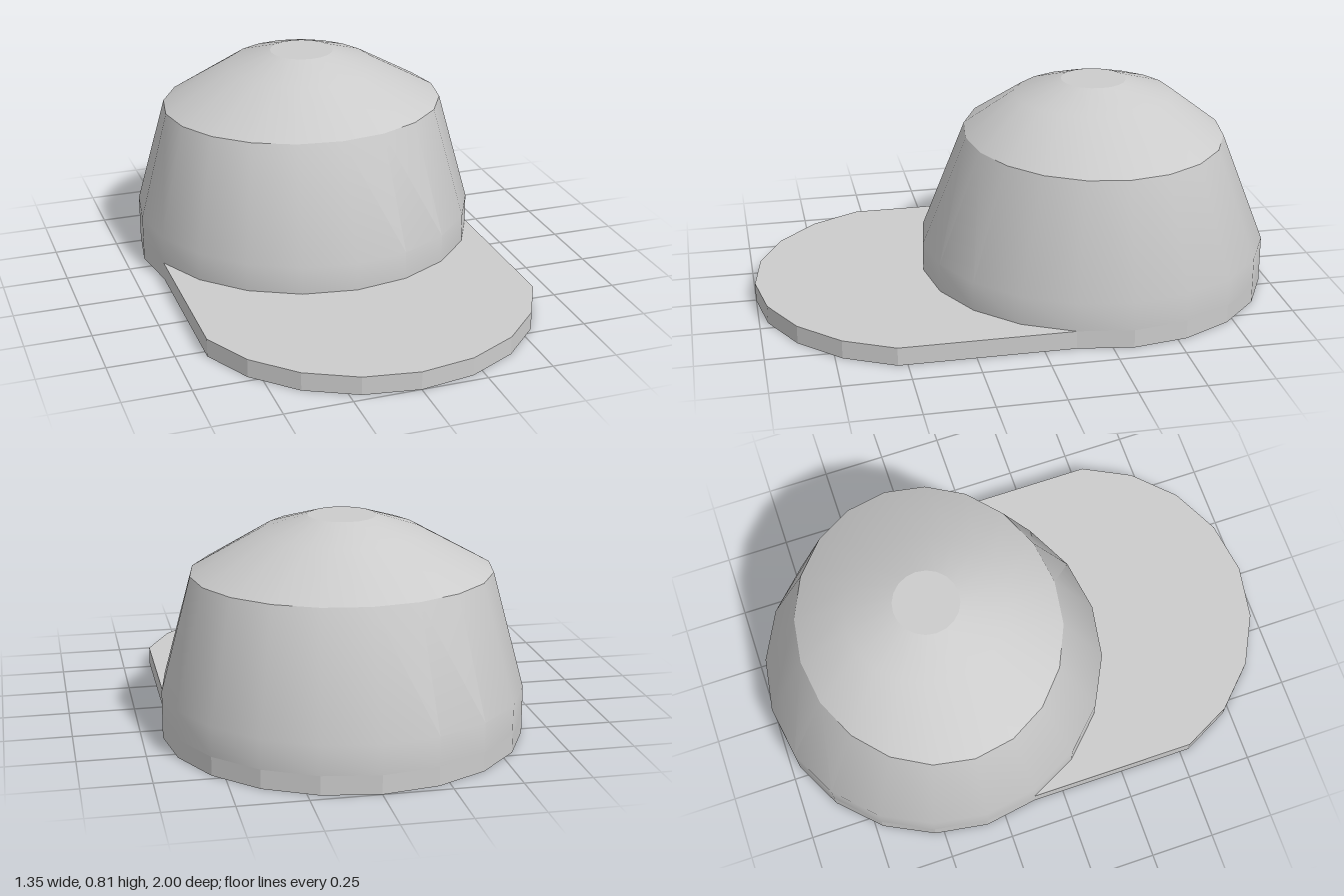
import * as THREE from 'three';
import { toCreasedNormals } from 'three/addons/utils/BufferGeometryUtils.js';

const SIDES = 20;
const RADIUS = 0.673;
const CENTRE_Z = -0.327;
const BRIM_REACH = 0.655;
const BRIM_HEIGHT = 0.07;

const smooth = new THREE.MeshStandardMaterial({ color: 0xcccccc });
const flat = new THREE.MeshStandardMaterial({ color: 0xcccccc, flatShading: true });

function add(group, name, geometry, material, y = 0, z = 0) {
  const mesh = new THREE.Mesh(geometry, material);
  mesh.name = name;
  mesh.position.set(0, y, z);
  group.add(mesh);
  return mesh;
}

// Lathe through elliptical rings given as [y, x radius, z radius]
function ringLoft(rings) {
  const geometry = new THREE.LatheGeometry(rings.map(([y, rx]) => new THREE.Vector2(rx, y)), SIDES);
  const pos = geometry.attributes.position;
  for (let i = 0; i < pos.count; i++) {
    const [, rx, rz] = rings[i % rings.length];
    pos.setZ(i, pos.getZ(i) * rz / rx);
  }
  geometry.computeVertexNormals();
  return geometry;
}

// Points of a regular polygon with a corner on each axis
function polygon(radius) {
  return Array.from({ length: SIDES }, (_, i) => {
    const a = (i / SIDES) * Math.PI * 2;
    return new THREE.Vector2(Math.cos(a) * radius, Math.sin(a) * radius);
  });
}

export function createModel() {
  const cap = new THREE.Group();
  cap.name = 'cap';

  // Base rim whose front half is pulled forward into the brim, with a head opening
  const outline = polygon(RADIUS);
  for (const p of outline) if (p.y > 0.01) p.y += BRIM_REACH;
  // Keep the brim sides straight from the rim's first front corners
  const corner = polygon(RADIUS)[1];
  outline.splice(1, 0, corner.clone());
  outline.splice(SIDES / 2 + 1, 0, new THREE.Vector2(-corner.x, corner.y));
  const shape = new THREE.Shape(outline);
  shape.holes.push(new THREE.Path(polygon(0.583).reverse()));
  const brim = new THREE.ExtrudeGeometry(shape, { depth: BRIM_HEIGHT, bevelEnabled: false });
  brim.rotateX(Math.PI / 2);
  add(cap, 'brim', brim, flat, BRIM_HEIGHT, CENTRE_Z);

  // Outer crown
  const crown = ringLoft([
    [BRIM_HEIGHT, RADIUS, RADIUS],
    [0.18, RADIUS, RADIUS],
    [0.61, 0.56, 0.5],
    [0.76, 0.29, 0.305],
    [0.815, 0.125, 0.125],
  ]);
  add(cap, 'crown', toCreasedNormals(crown, THREE.MathUtils.degToRad(28)), smooth, 0, CENTRE_Z);

  // Flat top of the crown
  const top = new THREE.CircleGeometry(0.125, SIDES).rotateX(-Math.PI / 2);
  add(cap, 'crownTop', top, flat, 0.815, CENTRE_Z);

  // Tapered inside wall, facing inwards, and its ceiling
  const lining = ringLoft([[0.36, 0.47, 0.42], [0, 0.583, 0.583]]);
  add(cap, 'lining', lining, flat, 0, CENTRE_Z);
  const ceiling = new THREE.CircleGeometry(1, SIDES).scale(0.47, 0.42, 1).rotateX(Math.PI / 2);
  add(cap, 'liningCeiling', ceiling, flat, 0.36, CENTRE_Z);

  return cap;
}
